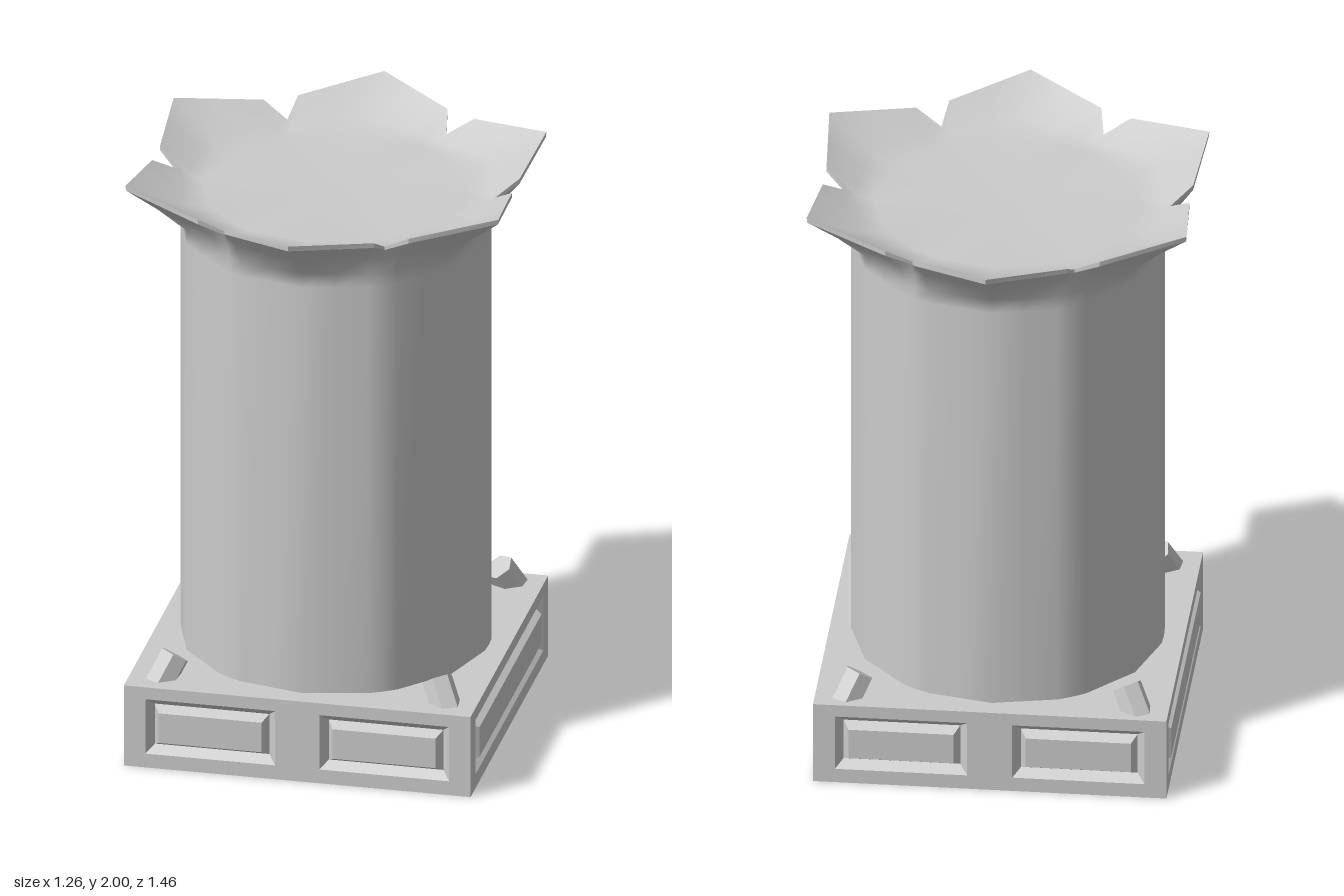
import * as THREE from 'three';

const smooth = new THREE.MeshStandardMaterial({ color: 0xcccccc, side: THREE.DoubleSide });
const flat = new THREE.MeshStandardMaterial({ color: 0xcccccc, side: THREE.DoubleSide, flatShading: true });

// Skin a list of closed rings, each a list of [x, y, z] with equal counts
function loft(rings) {
  const n = rings[0].length;
  const index = [];
  for (let k = 0; k < rings.length - 1; k++) {
    for (let j = 0; j < n; j++) {
      const a = k * n + j, b = k * n + (j + 1) % n;
      index.push(a, a + n, b, b, a + n, b + n);
    }
  }
  const g = new THREE.BufferGeometry();
  g.setAttribute('position', new THREE.Float32BufferAttribute(rings.flat(2), 3));
  g.setIndex(index);
  g.computeVertexNormals();
  return g;
}

function add(parent, name, geometry, material) {
  const mesh = new THREE.Mesh(geometry, material);
  mesh.name = name;
  parent.add(mesh);
  return mesh;
}

// Ring with sixfold symmetry: valley, shoulder and tip give [radius, height]
const TURN = Math.PI / 3;
function petalRing(valley, shoulder = valley, tip = shoulder) {
  const polar = ([r, y], deg) => {
    const a = THREE.MathUtils.degToRad(deg);
    return [r * Math.cos(a), y, r * Math.sin(a)];
  };
  const mid = (p, q) => p.map((v, i) => (v + q[i]) / 2);
  const v = polar(valley, 0), s1 = polar(shoulder, 5.6), t = polar(tip, 30), s2 = polar(shoulder, 54.4);
  const sector = [v, s1, mid(s1, t), t, mid(t, s2), s2];
  const ring = [];
  for (let k = 0; k < 6; k++) {
    const c = Math.cos(k * TURN), s = Math.sin(k * TURN);
    for (const [x, y, z] of sector) ring.push([x * c - z * s, y, x * s + z * c]);
  }
  return ring;
}

// Rectangle ring in the wall plane, shrunk by inset and pushed to depth z
function rectRing([x0, x1, y0, y1], inset, z) {
  const l = x0 + inset, r = x1 - inset, b = y0 + inset, t = y1 - inset;
  return [[l, b, z], [l, t, z], [r, t, z], [r, b, z]];
}

const HALF = 0.588, HEIGHT = 0.29;

// Thin wall with grooved panels, facing +z
function makeWall(name, panels) {
  const wall = new THREE.Group();
  wall.name = name;
  const shape = new THREE.Shape([[-HALF, 0], [HALF, 0], [HALF, HEIGHT], [-HALF, HEIGHT]]
    .map(p => new THREE.Vector2(...p)));
  for (const p of panels) {
    shape.holes.push(new THREE.Path(rectRing(p, 0, 0).map(([x, y]) => new THREE.Vector2(x, y))));
    const cx = (p[0] + p[1]) / 2, cy = (p[2] + p[3]) / 2;
    add(wall, 'panel', loft([
      rectRing(p, 0, 0),
      rectRing(p, 0.026, -0.03),
      rectRing(p, 0.045, 0.004),
      Array.from({ length: 4 }, () => [cx, cy, 0.004]),
    ]), flat);
  }
  add(wall, 'wallFace', new THREE.ShapeGeometry(shape), flat);
  for (const child of wall.children) child.geometry.translate(0, 0, HALF);
  return wall;
}

export function createModel() {
  const model = new THREE.Group();
  model.name = 'pedestalColumn';

  // Hollow square base, open underneath
  const base = new THREE.Group();
  base.name = 'base';
  const pair = [[-0.515, -0.075, 0.05, 0.247], [0.075, 0.515, 0.05, 0.247]];
  const single = [[-0.515, 0.515, 0.05, 0.247]];
  ['frontWall', 'leftWall', 'backWall', 'rightWall'].forEach((name, i) => {
    const wall = makeWall(name, i % 2 ? single : pair);
    wall.rotation.y = i * Math.PI / 2;
    base.add(wall);
  });
  const plate = add(base, 'topPlate', new THREE.PlaneGeometry(2 * HALF, 2 * HALF), flat);
  plate.rotation.x = -Math.PI / 2;
  plate.position.y = HEIGHT;
  model.add(base);

  // Round shaft flaring into six pointed petals
  const rimLow = petalRing([0.54, 1.9], [0.613, 1.945], [0.728, 1.982]);
  const rimHigh = petalRing([0.54, 1.912], [0.613, 1.962], [0.73, 2]);
  add(model, 'shaft', loft([
    petalRing([0.519, 0.27]),
    petalRing([0.519, 1.76]),
    petalRing([0.519, 1.81]),
    petalRing([0.53, 1.86], [0.552, 1.885], [0.62, 1.9]),
    rimLow,
  ]), smooth);
  add(model, 'petalRim', loft([rimLow, rimHigh]), flat);
  add(model, 'petalTop', loft([
    rimHigh,
    petalRing([0.5, 1.893], [0.51, 1.9], [0.56, 1.915]),
    petalRing([0.44, 1.89]),
    petalRing([0.001, 1.89]),
  ]), smooth);

  // Faceted studs leaning inward at the base corners
  for (const sx of [-1, 1]) {
    for (const sz of [-1, 1]) {
      const stud = add(model, 'cornerStud', new THREE.CylinderGeometry(0.052, 0.052, 0.15, 6), flat);
      stud.position.set(sx * 0.474, 0.295, sz > 0 ? 0.483 : -0.505);
      stud.quaternion.setFromUnitVectors(
        new THREE.Vector3(0, 1, 0),
        new THREE.Vector3(-sx * 0.48, 1, -sz * 0.48).normalize());
    }
  }
  return model;
}
